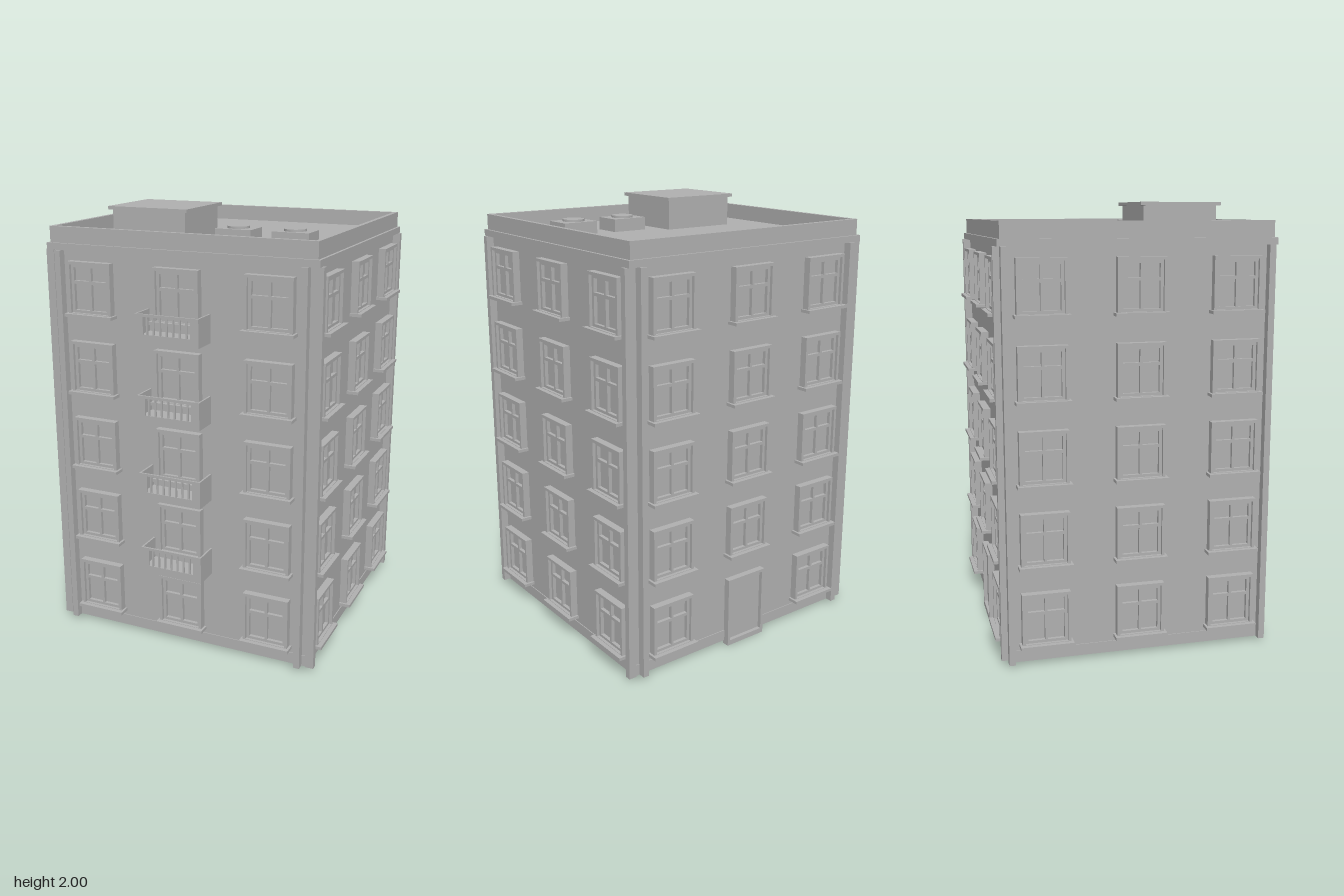
import * as THREE from 'three';

const stone = new THREE.MeshStandardMaterial({ color: 0xb0b0b0 });
stone.name = 'grey stone';

const HX = 0.615, HZ = 0.583; // wall half sizes
const BASE = 0.018, EAVES = 1.82, DECK = 1.85;
const FLOORS = 5, PITCH = 0.36, FIRST_SILL = 0.098;
const COLUMNS = [-0.425, 0, 0.425];

function add(parent, name, geometry, x = 0, y = 0, z = 0) {
  const mesh = new THREE.Mesh(geometry, stone);
  mesh.name = name;
  mesh.position.set(x, y, z);
  parent.add(mesh);
  return mesh;
}

// Box given by its extents along each axis
function block(parent, name, x0, x1, y0, y1, z0, z1) {
  return add(parent, name, new THREE.BoxGeometry(x1 - x0, y1 - y0, z1 - z0),
    (x0 + x1) / 2, (y0 + y1) / 2, (z0 + z1) / 2);
}

function rect(target, x0, x1, y0, y1) {
  target.moveTo(x0, y0);
  target.lineTo(x1, y0);
  target.lineTo(x1, y1);
  target.lineTo(x0, y1);
  target.closePath();
  return target;
}

// Rectangular plate with rectangular holes, each [x0, x1, y0, y1]
function frameGeometry(outer, holes, depth) {
  const shape = rect(new THREE.Shape(), ...outer);
  for (const h of holes) shape.holes.push(rect(new THREE.Path(), ...h));
  return new THREE.ExtrudeGeometry(shape, { depth, bevelEnabled: false });
}

// Window pieces, with y = 0 at the sill and z = 0 at the wall
const casing = frameGeometry([-0.108, 0.108, 0, 0.237], [[-0.095, 0.095, 0.008, 0.224]], 0.034);
const sash = frameGeometry([-0.095, 0.095, 0.008, 0.224], [
  [-0.081, -0.006, 0.02, 0.137], [0.006, 0.081, 0.02, 0.137],
  [-0.081, -0.006, 0.151, 0.21], [0.006, 0.081, 0.151, 0.21],
], 0.02);
const sill = new THREE.BoxGeometry(0.237, 0.014, 0.055);
const pane = new THREE.BoxGeometry(0.19, 0.216, 0.006);

function makeWindow() {
  const g = new THREE.Group();
  g.name = 'window';
  add(g, 'windowCasing', casing);
  add(g, 'windowSash', sash);
  add(g, 'windowPane', pane, 0, 0.116, 0.001);
  add(g, 'windowSill', sill, 0, -0.001, 0.0275);
  return g;
}

function makeDoor() {
  const g = new THREE.Group();
  g.name = 'door';
  add(g, 'doorFrame', frameGeometry([-0.108, 0.108, BASE, 0.335], [[-0.094, 0.094, BASE + 0.005, 0.321]], 0.03));
  block(g, 'doorLeaf', -0.094, 0.094, BASE, 0.321, -0.002, 0.012);
  block(g, 'doorThreshold', -0.108, 0.108, 0, BASE + 0.006, -0.005, 0.03);
  return g;
}

// Balcony, with y = 0 at the window sill
function makeBalcony() {
  const g = new THREE.Group();
  g.name = 'balcony';
  const W = 0.15, D = 0.118, T = 0.008, TOP = 0.052;
  block(g, 'balconySlab', -W, W, -0.073, -0.046, 0, D);
  for (const s of [-1, 1]) {
    const edge = s * (W - T / 2), corner = s * 0.13;
    block(g, 'balconySide', edge - T / 2, edge + T / 2, -0.046, TOP, 0, D);
    block(g, 'balconyCornerPanel', corner - 0.019, corner + 0.019, -0.046, TOP, D - T, D);
  }
  block(g, 'balconyTopRail', -0.112, 0.112, TOP - 0.012, TOP, D - T, D);
  block(g, 'balconyBottomRail', -0.112, 0.112, -0.046, -0.036, D - T, D);
  for (let i = -3; i <= 3; i++) {
    block(g, 'baluster', i * 0.031 - 0.004, i * 0.031 + 0.004, -0.036, TOP - 0.012, D - T, D - 0.001);
  }
  return g;
}

// One facade, facing its own +z with z = 0 at the wall
function makeFacade(name, { door = false, balconies = false } = {}) {
  const g = new THREE.Group();
  g.name = name;
  for (let floor = 0; floor < FLOORS; floor++) {
    const y = FIRST_SILL + floor * PITCH;
    for (const x of COLUMNS) {
      if (door && floor === 0 && x === 0) {
        g.add(makeDoor());
        continue;
      }
      const w = makeWindow();
      w.position.set(x, y, 0);
      g.add(w);
      if (balconies && floor > 0 && x === 0) {
        const b = makeBalcony();
        b.position.y = y;
        g.add(b);
      }
    }
  }
  // Upright strips beside the corners
  for (const s of [-1, 1]) {
    block(g, 'cornerStrip', s * 0.579 - 0.014, s * 0.579 + 0.014, BASE, EAVES, -0.002, 0.036);
  }
  return g;
}

function makeRoof() {
  const g = new THREE.Group();
  g.name = 'roof';
  block(g, 'cornice', -0.639, 0.639, EAVES, DECK, -0.606, 0.606);
  const parapet = add(g, 'parapet', frameGeometry(
    [-0.627, 0.627, -0.594, 0.594], [[-0.607, 0.607, -0.571, 0.571]], 0.074), 0, DECK - 0.002, 0);
  parapet.rotation.x = -Math.PI / 2;
  return g;
}

export function createModel() {
  const model = new THREE.Group();
  model.name = 'apartmentBlock';

  const building = new THREE.Group();
  building.name = 'building';
  building.position.z = -0.034;
  model.add(building);

  block(building, 'walls', -HX, HX, BASE, EAVES, -HZ, HZ);
  block(building, 'plinth', -HX - 0.004, HX + 0.004, BASE, 0.07, -HZ - 0.004, HZ + 0.004);
  building.add(makeRoof());

  const sides = [
    ['frontFacade', 0, HZ, { balconies: true }],
    ['leftFacade', 1, HX, {}],
    ['backFacade', 2, HZ, { door: true }],
    ['rightFacade', 3, HX, {}],
  ];
  for (const [name, turn, distance, options] of sides) {
    const facade = makeFacade(name, options);
    const angle = turn * Math.PI / 2;
    facade.rotation.y = angle;
    facade.position.set(Math.sin(angle) * distance, 0, Math.cos(angle) * distance);
    building.add(facade);
  }

  // Stair head on the roof
  block(model, 'stairHead', -0.415, -0.055, DECK - 0.002, 1.986, 0.034, 0.368);
  block(model, 'stairHeadCap', -0.43, -0.04, 1.985, 2, 0.018, 0.384);

  // Roof vents
  for (const x of [0.115, 0.385]) {
    block(model, 'ventBox', x - 0.086, x + 0.086, DECK - 0.002, 1.908, 0.11, 0.242);
    add(model, 'ventFan', new THREE.CylinderGeometry(0.05, 0.05, 0.012, 24), x, 1.912, 0.176);
  }
  return model;
}
